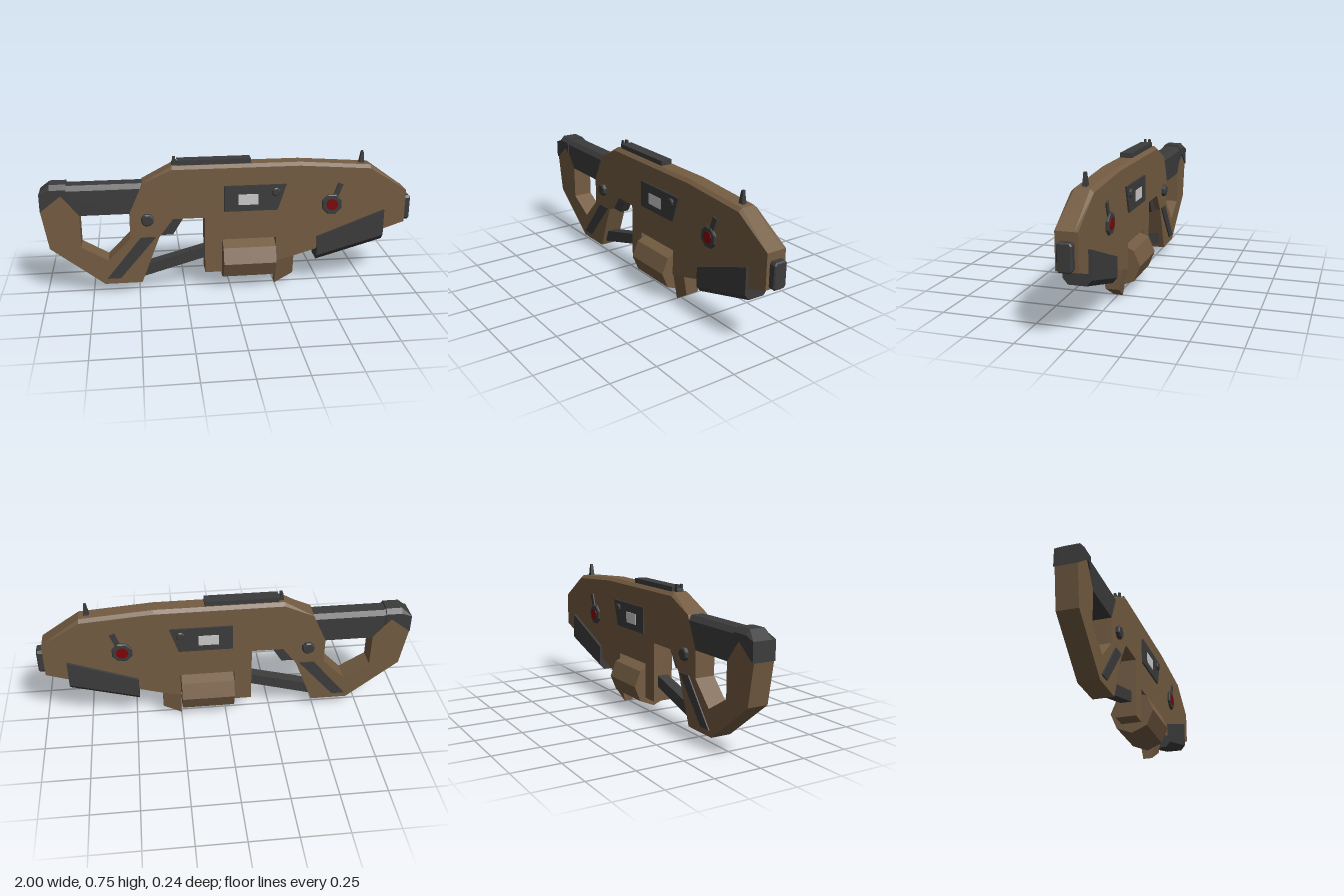
import * as THREE from 'three';

const mat = (name, color) => {
  const m = new THREE.MeshStandardMaterial({ color });
  m.name = name;
  return m;
};

export function createModel() {
  const brown = mat('brown', 0x745c42);
  const dark = mat('charcoal', 0x3c3c3c);
  const light = mat('lightGrey', 0xcccccc);
  const red = mat('red', 0x800404);

  const root = new THREE.Group();
  root.name = 'rifle';

  const add = (name, geometry, material, parent = root) => {
    const mesh = new THREE.Mesh(geometry, material);
    mesh.name = name;
    parent.add(mesh);
    return mesh;
  };
  const shapeOf = pts => new THREE.Shape(pts.map(p => new THREE.Vector2(p[0], p[1])));

  // Symmetric slab in four layers; drop(x, y) shifts the outer layers in y to cut chamfers
  const slab = (name, pts, half, material, { inner = half / 3, drop, taper } = {}) => {
    const g = new THREE.ExtrudeGeometry(shapeOf(pts), { depth: 3, steps: 3, bevelEnabled: false });
    const layers = [-half, -inner, inner, half];
    const p = g.attributes.position;
    for (let i = 0; i < p.count; i++) {
      const k = Math.round(p.getZ(i));
      const x = p.getX(i), y = p.getY(i);
      p.setZ(i, layers[k] * (taper ? taper(y) : 1));
      if (drop && (k === 0 || k === 3)) p.setY(i, y + drop(x, y));
    }
    g.computeVertexNormals();
    return add(name, g, material);
  };

  // Matching plates on both flanks, from depth z0 out to z1
  const plates = (name, pts, z0, z1, material, bevel = 0) => {
    const group = new THREE.Group();
    group.name = name;
    root.add(group);
    for (const side of [1, -1]) {
      const g = new THREE.ExtrudeGeometry(shapeOf(pts), {
        depth: z1 - z0 - bevel, bevelEnabled: bevel > 0, bevelThickness: bevel,
        bevelSize: bevel, bevelOffset: -bevel, bevelSegments: 1,
      });
      g.translate(0, 0, side > 0 ? z0 : -z1 + bevel);
      add(name + (side > 0 ? 'Front' : 'Back'), g, material, group);
    }
  };
  const ring = (cx, cy, r, n) => Array.from({ length: n }, (_, i) => {
    const a = (i + 0.5) / n * Math.PI * 2;
    return [cx + r * Math.cos(a), cy + r * Math.sin(a)];
  });

  // Receiver, grip and lower stock in one outline, with a notch for the drum
  slab('body', [
    [-0.467, 0.622], [-0.31, 0.71], [0.376, 0.709], [0.76, 0.68], [0.965, 0.533],
    [0.965, 0.35], [0.846, 0.31], [0.477, 0.212], [0.35, 0.175], [0.25, 0.15],
    [0.25, 0.29], [-0.047, 0.29], [-0.047, 0.10], [-0.14, 0.10], [-0.14, 0.42],
    [-0.31, 0.42], [-0.385, 0.32], [-0.485, 0.06], [-0.685, 0.06], [-0.965, 0.28],
    [-1, 0.49], [-0.89, 0.575], [-0.80, 0.46], [-0.80, 0.28], [-0.66, 0.197],
    [-0.54, 0.32], [-0.54, 0.46],
  ], 0.055, brown, { inner: 0.037, drop: (x, y) => (y > 0.65 ? -0.017 : 0) });

  // Tapered fin ahead of the drum
  slab('frontFin', [[0.25, 0.002], [0.35, 0.065], [0.35, 0.177], [0.25, 0.177]], 0.055, brown,
    { taper: y => 0.45 + 0.55 * Math.min(1, y / 0.175) });

  // Octagonal drum lying along x
  const drum = new THREE.CylinderGeometry(0.118, 0.118, 0.287, 8).toNonIndexed();
  drum.rotateZ(Math.PI / 2);
  drum.translate(0.1015, 0.165, 0);
  drum.computeVertexNormals();
  add('drum', drum, brown);

  // Upper stock and its end cap
  slab('upperStock', [[-0.89, 0.622], [-0.467, 0.622], [-0.54, 0.46], [-0.80, 0.46], [-0.89, 0.575]],
    0.055, dark, { inner: 0.035, drop: (x, y) => (y > 0.6 ? -0.025 : 0) });
  slab('stockCap', [[-1, 0.49], [-1, 0.587], [-0.945, 0.632], [-0.86, 0.632], [-0.86, 0.54], [-0.89, 0.575]],
    0.062, dark, { inner: 0.04, drop: (x, y) => (y > 0.6 ? -0.025 : 0) });

  // Fore-end wrapping under the barrel housing
  slab('foreEnd', [[0.477, 0.285], [0.846, 0.425], [0.846, 0.25], [0.477, 0.145]],
    0.07, dark, { inner: 0.045, drop: (x, y) => (y < 0.27 ? 0.03 : 0) });

  // Trigger and guard bar
  slab('triggerGuard', [[-0.49, 0.145], [-0.13, 0.243], [-0.13, 0.183], [-0.49, 0.08]], 0.03, dark);
  slab('trigger', [[-0.32, 0.425], [-0.245, 0.425], [-0.31, 0.32], [-0.39, 0.32]], 0.025, dark);

  // Muzzle block with bevelled front
  const muzzle = new THREE.ExtrudeGeometry(shapeOf([
    [-0.037, 0.367], [-0.027, 0.354], [0.027, 0.354], [0.037, 0.367],
    [0.037, 0.478], [0.027, 0.491], [-0.027, 0.491], [-0.037, 0.478],
  ]), { depth: 0.04, bevelThickness: 0.006, bevelSize: 0.006, bevelOffset: -0.006, bevelSegments: 1 });
  muzzle.rotateY(Math.PI / 2);
  muzzle.translate(0.954, 0, 0);
  add('muzzle', muzzle, dark);

  // Top rail and sights
  add('topRail', new THREE.BoxGeometry(0.39, 0.03, 0.064), dark).position.set(-0.085, 0.72, 0);
  slab('rearSightBase', [[-0.312, 0.69], [-0.276, 0.69], [-0.282, 0.73], [-0.306, 0.73]], 0.018, dark);
  for (const s of [1, -1]) {
    add('rearSightPost', new THREE.BoxGeometry(0.016, 0.024, 0.012), dark).position.set(-0.296, 0.736, s * 0.012);
  }
  slab('frontSight', [[0.703, 0.675], [0.735, 0.675], [0.727, 0.748], [0.716, 0.748]], 0.012, dark,
    { taper: y => (y > 0.7 ? 0.6 : 1) });

  // Flank details
  plates('gripStrip', [[-0.483, 0.323], [-0.403, 0.323], [-0.60, 0.093], [-0.67, 0.093]], 0.054, 0.062, dark);
  plates('gripBolt', ring(-0.446, 0.424, 0.035, 8), 0.05, 0.076, dark, 0.006);
  plates('sidePanel', [[-0.035, 0.595], [0.30, 0.595], [0.254, 0.452], [-0.035, 0.452]], 0.054, 0.064, dark);
  plates('screen', [[0.04, 0.547], [0.147, 0.547], [0.147, 0.488], [0.04, 0.488]], 0.062, 0.067, light);
  plates('panelButton', ring(0.243, 0.555, 0.024, 8), 0.06, 0.075, dark, 0.005);
  plates('selectorRing', ring(0.552, 0.47, 0.058, 8), 0.05, 0.068, dark, 0.005);
  plates('selectorLever', [[0.553, 0.50], [0.583, 0.59], [0.611, 0.58], [0.585, 0.51]], 0.054, 0.062, dark);
  plates('selectorLight', ring(0.552, 0.47, 0.032, 12), 0.066, 0.071, red);

  return root;
}
